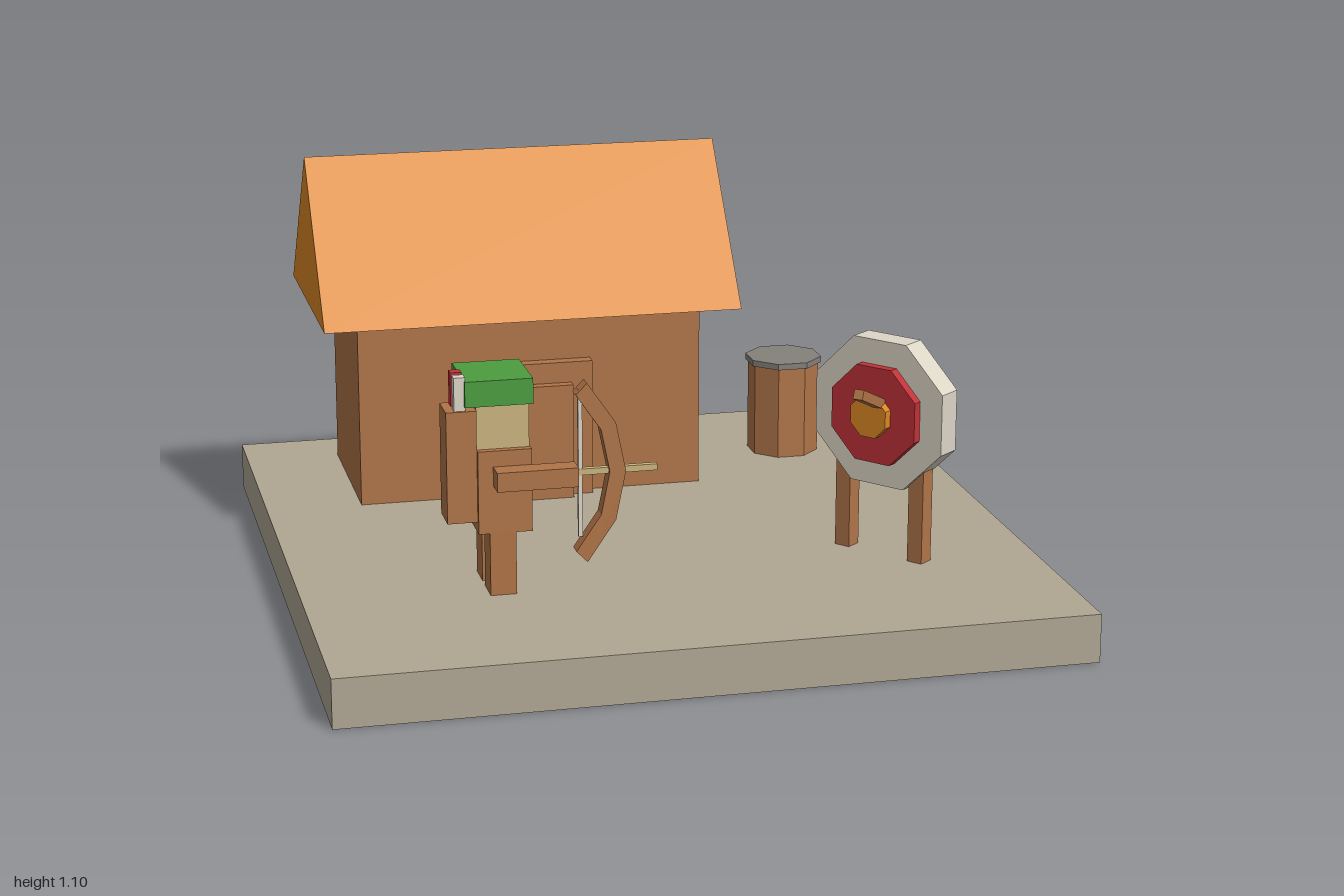
import * as THREE from 'three';

const mat = (name, color, side = THREE.FrontSide) =>
  Object.assign(new THREE.MeshStandardMaterial({ color, flatShading: true, side }), { name });

export function createModel() {
  const stone = mat('stone', 0xb0a793, THREE.DoubleSide);
  const wood = mat('wood', 0xb07448);
  const thatch = mat('thatch', 0xdc8824);
  const green = mat('green', 0x4c9c40);
  const skin = mat('skin', 0xcbb47e);
  const red = mat('red', 0xc03238);
  const white = mat('white', 0xdcd6c6);
  const grey = mat('grey', 0x84807a);

  const model = new THREE.Group();
  model.name = 'archeryYard';
  const group = (name) => {
    const g = new THREE.Group();
    g.name = name;
    model.add(g);
    return g;
  };
  const add = (parent, name, geometry, material) => {
    const mesh = new THREE.Mesh(geometry, material);
    mesh.name = name;
    parent.add(mesh);
    return mesh;
  };
  // Box given by its limits on each axis
  const box = (parent, name, material, [x0, x1], [y0, y1], [z0, z1]) => {
    const mesh = add(parent, name, new THREE.BoxGeometry(x1 - x0, y1 - y0, z1 - z0), material);
    mesh.position.set((x0 + x1) / 2, (y0 + y1) / 2, (z0 + z1) / 2);
    return mesh;
  };
  // Upright octagonal prism with flat sides on the axes
  const octagon = (apothem, height) =>
    new THREE.CylinderGeometry(apothem / Math.cos(Math.PI / 8), apothem / Math.cos(Math.PI / 8),
      height, 8, 1, false, Math.PI / 8);

  const G = 0.133; // ground level

  // Ground slab, hollow and open underneath
  const slab = new THREE.BoxGeometry(2, G, 2);
  const faces = Array.from(slab.index.array);
  faces.splice(18, 6);
  slab.setIndex(faces);
  slab.clearGroups();
  add(model, 'ground', slab, stone).position.y = G / 2;

  // House
  const house = group('house');
  box(house, 'walls', wood, [-0.73, 0.265], [G, 0.672], [-0.83, -0.333]);
  box(house, 'doorFrame', wood, [-0.41, -0.06], [G, 0.53], [-0.333, -0.295]);
  box(house, 'door', wood, [-0.35, -0.122], [G, 0.47], [-0.295, -0.265]);
  const gable = new THREE.Shape([
    new THREE.Vector2(-0.347, 0), new THREE.Vector2(0.347, 0), new THREE.Vector2(0, 0.43)]);
  const roof = add(house, 'roof',
    new THREE.ExtrudeGeometry(gable, { depth: 1.2, bevelEnabled: false }), thatch);
  roof.rotation.y = Math.PI / 2;
  roof.position.set(-0.835, 0.672, -0.583);

  // Barrel
  const barrel = group('barrel');
  barrel.position.set(0.595, 0, -0.6);
  add(barrel, 'barrelBody', octagon(0.098, 0.275), wood).position.y = G + 0.1375;
  add(barrel, 'barrelLid', octagon(0.106, 0.018), grey).position.y = 0.416;

  // Archer, facing +x
  const archer = group('archer');
  for (const z of [0.30, 0.42]) box(archer, 'leg', wood, [-0.51, -0.44], [G, 0.305], [z, z + 0.082]);
  box(archer, 'torso', wood, [-0.54, -0.397], [0.305, 0.53], [0.29, 0.505]);
  box(archer, 'head', skin, [-0.54, -0.4], [0.53, 0.648], [0.31, 0.485]);
  box(archer, 'hat', green, [-0.57, -0.39], [0.648, 0.717], [0.302, 0.495]);
  box(archer, 'rightArm', wood, [-0.5, -0.37], [0.435, 0.487], [0.23, 0.29]);
  box(archer, 'bowArm', wood, [-0.5, -0.285], [0.435, 0.487], [0.505, 0.562]);
  box(archer, 'quiver', wood, [-0.62, -0.54], [0.335, 0.637], [0.395, 0.492]);
  box(archer, 'redFletching', red, [-0.597, -0.567], [0.637, 0.727], [0.403, 0.433]);
  box(archer, 'whiteFletching', white, [-0.597, -0.567], [0.637, 0.727], [0.455, 0.485]);

  // Bow, string and nocked arrow
  const bend = 0.8;
  const arc = new THREE.Shape();
  arc.absarc(0, 0, 0.34, -bend, bend, false);
  arc.absarc(0, 0, 0.297, bend, -bend, true);
  const bow = add(archer, 'bow', new THREE.ExtrudeGeometry(arc,
    { depth: 0.042, bevelEnabled: false, curveSegments: 2 }), wood);
  bow.position.set(-0.497, 0.467, 0.51);
  box(archer, 'bowString', white, [-0.281, -0.27], [0.29, 0.69], [0.526, 0.537]);
  box(archer, 'nockedArrow', skin, [-0.285, -0.07], [0.459, 0.476], [0.523, 0.54]);

  // Target, turned toward the archer
  const target = group('target');
  target.position.set(0.5975, 0, 0.398);
  target.rotation.y = -0.894;
  const disc = (name, material, apothem, z0, z1) => {
    const mesh = add(target, name, octagon(apothem, z1 - z0), material);
    mesh.rotation.x = Math.PI / 2;
    mesh.position.set(0, 0.537, (z0 + z1) / 2);
  };
  disc('targetBoard', white, 0.202, -0.036, 0.036);
  disc('targetRing', red, 0.133, 0.036, 0.062);
  disc('bullseye', thatch, 0.056, 0.062, 0.086);
  for (const x of [-0.118, 0.118])
    box(target, 'targetLeg', wood, [x - 0.023, x + 0.023], [G, 0.42], [-0.023, 0.023]);

  // Arrow stuck in the target
  const tip = new THREE.Vector3(0.568, 0.57, 0.452);
  const tail = new THREE.Vector3(0.465, 0.638, 0.573);
  const shaft = add(model, 'stuckArrow',
    new THREE.BoxGeometry(0.027, 0.027, tip.distanceTo(tail)), wood);
  shaft.position.copy(tip).lerp(tail, 0.5);
  shaft.lookAt(tail);

  return model;
}
